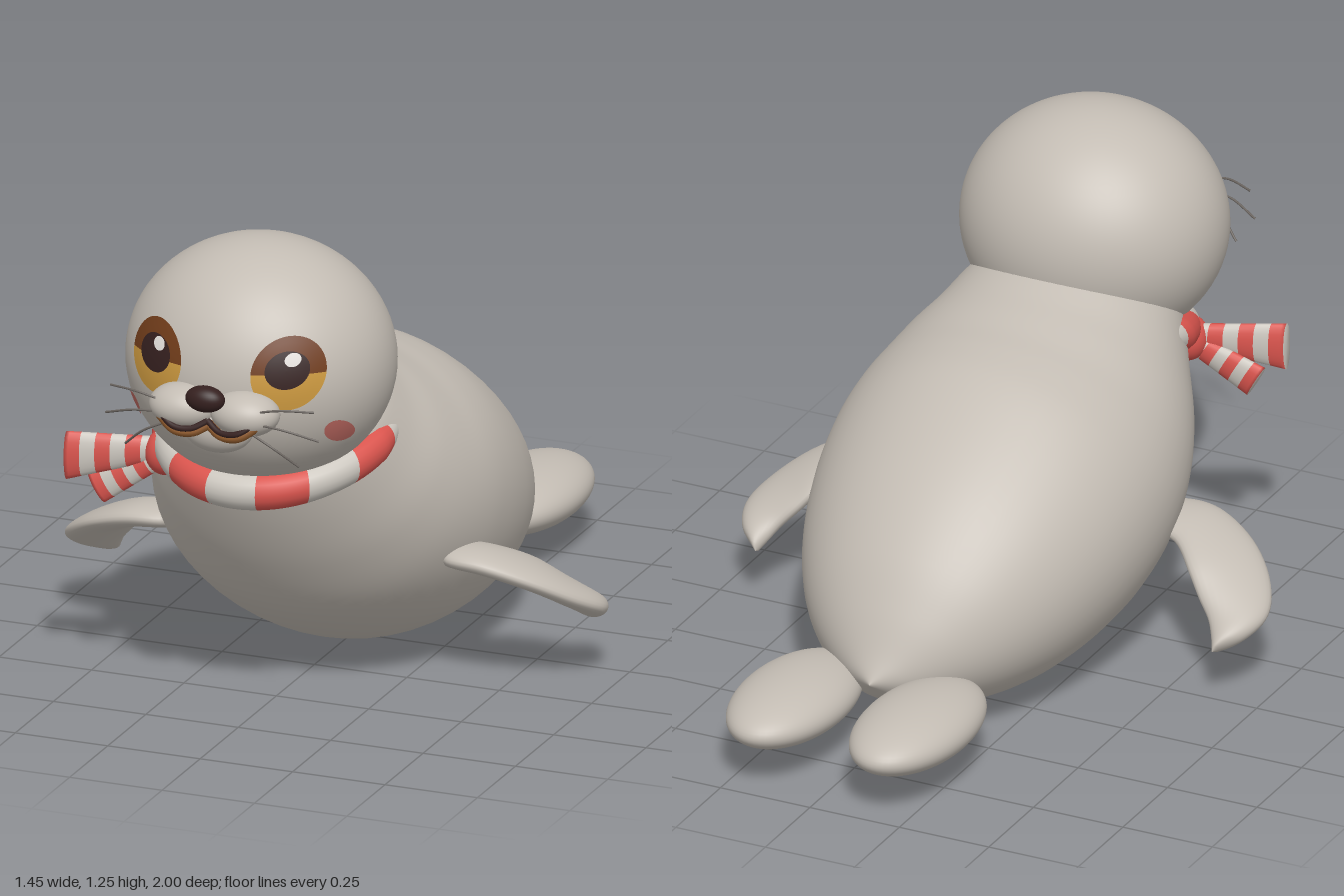
import * as THREE from 'three';

const V = (x, y, z) => new THREE.Vector3(x, y, z);
const mat = (name, color, side = THREE.FrontSide) => {
  const m = new THREE.MeshStandardMaterial({ color, side });
  m.name = name;
  return m;
};

// Head ellipsoid, shared by everything that lies on the face
const HEAD = V(0, 0.945, 0.597), HEAD_R = V(0.345, 0.314, 0.316);

// Elliptical rings joined into a skin; ring(t) gives centre c and half axes u, v,
// with u x v pointing back along the run. bandMaterial(i) picks a material index.
function loft(rings, sides, ring, bandMaterial) {
  const pos = [], index = [], g = new THREE.BufferGeometry();
  for (let i = 0; i <= rings; i++) {
    const { c, u, v } = ring(i / rings);
    for (let j = 0; j < sides; j++) {
      const a = (j / sides) * Math.PI * 2;
      const p = c.clone().addScaledVector(u, Math.cos(a)).addScaledVector(v, Math.sin(a));
      pos.push(p.x, p.y, p.z);
    }
  }
  for (let i = 0; i < rings; i++) {
    if (bandMaterial) g.addGroup(index.length, sides * 6, bandMaterial(i));
    for (let j = 0; j < sides; j++) {
      const k = (j + 1) % sides;
      const a = i * sides + j, b = i * sides + k, c = a + sides, d = b + sides;
      index.push(a, c, b, b, c, d);
    }
  }
  g.setAttribute('position', new THREE.Float32BufferAttribute(pos, 3));
  g.setIndex(index);
  g.computeVertexNormals();
  return g;
}

// Thin elliptical patch laid over the head's front surface
function headPatch(cx, cy, rx, ry, lift, start = 0, length = Math.PI * 2) {
  const g = new THREE.RingGeometry(0, 1, 40, 6, start, length), p = g.attributes.position;
  const R = HEAD_R.clone().multiplyScalar(1 + lift);
  for (let i = 0; i < p.count; i++) {
    const x = cx + p.getX(i) * rx, y = cy + p.getY(i) * ry;
    const k = 1 - (x / R.x) ** 2 - ((y - HEAD.y) / R.y) ** 2;
    p.setXYZ(i, x, y, HEAD.z + R.z * Math.sqrt(Math.max(0, k)));
  }
  g.computeVertexNormals();
  return g;
}

export function createModel() {
  const model = new THREE.Group();
  model.name = 'seal';
  const fur = mat('fur grey', 0xc3bcb3);
  const cream = mat('scarf pale', 0xcbc6be);
  const red = mat('scarf red', 0xd9544d);
  const blush = mat('cheek red', 0xbf6a62);
  const brown = mat('eye brown', 0x703c1a);
  const gold = mat('eye gold', 0xcb983f);
  const dark = mat('dark', 0x35201f);
  const shine = mat('eye shine', 0xe6e2de);
  const lip = mat('lip brown', 0x8f5a2c);
  const hair = mat('whisker grey', 0x6a645f);

  const add = (name, geometry, material) => {
    const m = new THREE.Mesh(geometry, material);
    m.name = name;
    model.add(m);
    return m;
  };
  const ball = (name, material, c, r, n = 32) => {
    const m = add(name, new THREE.SphereGeometry(1, n * 2, n), material);
    m.position.set(...c);
    m.scale.set(...r);
    return m;
  };
  const tube = (name, material, points, r) =>
    add(name, new THREE.TubeGeometry(new THREE.CatmullRomCurve3(points), 20, r, 8), material);

  // Body: back point (z, y), belly point (z, y), half width
  const sections = [
    [-0.668, 0.2, -0.665, 0.195, 0], [-0.635, 0.26, -0.58, 0.12, 0.1],
    [-0.58, 0.37, -0.48, 0.07, 0.205], [-0.5, 0.49, -0.36, 0.03, 0.295],
    [-0.37, 0.62, -0.2, 0.007, 0.375], [-0.2, 0.74, -0.02, 0.013, 0.43],
    [-0.07, 0.81, 0.15, 0.045, 0.45], [0.02, 0.835, 0.3, 0.115, 0.448],
    [0.1, 0.85, 0.44, 0.22, 0.425], [0.17, 0.87, 0.55, 0.36, 0.385],
    [0.23, 0.888, 0.63, 0.5, 0.335], [0.285, 0.91, 0.69, 0.64, 0.29],
    [0.33, 0.93, 0.72, 0.72, 0.25],
  ];
  const back = new THREE.CatmullRomCurve3(sections.map((s) => V(s[4], s[1], s[0])));
  const belly = new THREE.CatmullRomCurve3(sections.map((s) => V(0, s[3], s[2])));
  add('body', loft(72, 56, (t) => {
    const T = back.getPoint(t), B = belly.getPoint(t), w = T.x;
    T.x = B.x = 0;
    return { c: T.clone().add(B).multiplyScalar(0.5), u: T.sub(B).multiplyScalar(0.5), v: V(w, 0, 0) };
  }), fur);

  ball('head', fur, HEAD.toArray(), HEAD_R.toArray(), 40);
  ball('chin', fur, [0, 0.85, 0.885], [0.095, 0.065, 0.055]);
  ball('nose', dark, [0, 0.952, 0.967], [0.052, 0.034, 0.033], 20);

  for (const s of [1, -1]) {
    const side = s > 0 ? 'left' : 'right';

    // Face
    ball(side + 'Muzzle', fur, [s * 0.083, 0.905, 0.905], [0.09, 0.058, 0.073]);
    const ex = s * 0.177, ey = 1.005;
    add(side + 'EyeUpper', headPatch(ex, ey, 0.083, 0.092, 0.01, 0, Math.PI), brown);
    add(side + 'EyeLower', headPatch(ex, ey, 0.083, 0.092, 0.01, Math.PI, Math.PI), gold);
    add(side + 'Pupil', headPatch(s * 0.178, 1.016, 0.05, 0.047, 0.018), dark);
    add(side + 'EyeShine', headPatch(s * 0.178 + 0.012, 1.043, 0.018, 0.017, 0.025), shine);
    add(side + 'Cheek', headPatch(s * 0.275, 0.835, 0.025, 0.034, 0.01), blush);

    // Mouth line with a lip below it
    const mouth = (dy, dz) => [[0, 0.888, 0.95], [0.04, 0.868, 0.968], [0.085, 0.87, 0.972], [0.13, 0.898, 0.955]]
      .map(([x, y, z]) => V(s * x, y + dy, z + dz));
    tube(side + 'Mouth', dark, mouth(0, 0), 0.008);
    tube(side + 'Lip', lip, mouth(-0.011, -0.008), 0.013);

    // Whiskers
    for (const [y0, y1, x1] of [[0.92, 0.937, 0.275], [0.895, 0.862, 0.288], [0.87, 0.787, 0.235]]) {
      tube(side + 'Whisker', hair, [V(s * 0.11, y0, 0.945),
        V(s * (0.11 + x1) / 2, (y0 + y1) / 2 + 0.012, 0.95), V(s * x1, y1, 0.92)], 0.003);
    }

    // Front flipper swept between a leading and a trailing edge
    const edge = (pts) => new THREE.CatmullRomCurve3(pts.map(([x, y, z]) => V(s * x, y, z)));
    const lead = edge([[0.35, 0.352, 0.27], [0.385, 0.358, 0.325], [0.48, 0.353, 0.332], [0.6, 0.31, 0.285],
      [0.69, 0.25, 0.2], [0.725, 0.205, 0.11], [0.7, 0.175, 0.03], [0.64, 0.15, -0.025]]);
    const trail = edge([[0.35, 0.352, 0.26], [0.385, 0.35, 0.18], [0.45, 0.338, 0.15], [0.52, 0.295, 0.085],
      [0.56, 0.25, 0.055], [0.6, 0.205, 0.03], [0.62, 0.175, 0.005], [0.638, 0.15, -0.027]]);
    add(side + 'FrontFlipper', loft(40, 28, (t) => {
      const L = lead.getPoint(t), E = trail.getPoint(t);
      const run = lead.getTangent(t).add(trail.getTangent(t));
      const c = L.clone().add(E).multiplyScalar(0.5), u = L.sub(E).multiplyScalar(0.5);
      const thick = 0.034 * Math.sqrt(Math.max(0, 1 - (2 * t - 1) ** 4));
      return { c, u, v: u.clone().cross(run).normalize().multiplyScalar(thick) };
    }), fur);

    ball(side + 'BackFlipper', fur, [s * 0.172, 0.157, -0.74], [0.143, 0.077, 0.26]);
  }

  // Scarf: striped band around the front of the neck, sinking into the body at its ends
  const angle = (t) => -104 + 208 * t;
  add('scarf', loft(104, 20, (t) => {
    const a = THREE.MathUtils.degToRad(angle(t)), sn = Math.sin(a), cs = Math.cos(a);
    const k = Math.sqrt(Math.min(1, (1 - Math.abs(2 * t - 1)) * 4));
    return {
      c: V(0.278 * sn, 0.643 + 0.092 * (1 - cs), 0.45 + 0.317 * cs),
      u: V(0, 0.048 * k, 0), v: V(-0.046 * k * sn, 0, -0.046 * k * cs),
    };
  }, (i) => Math.floor((Math.abs(angle((i + 0.5) / 104)) + 12) / 24) % 2), [cream, red]);

  // Scarf knot and its two flared, striped ends
  ball('scarfKnot', red, [-0.252, 0.66, 0.615], [0.052, 0.06, 0.055], 20);
  const scarfEnd = (name, from, to, up, h0, h1) => add(name, loft(25, 20, (t) => {
    const s = Math.min(1, t / 0.96), k = t > 0.97 ? 0 : 1;
    return {
      c: from.clone().lerp(to, s),
      u: up.clone().multiplyScalar((h0 + (h1 - h0) * s) * k), v: V(0, 0, 0.02 * k),
    };
  }, (i) => Math.floor(i / 4) % 2), [cream, red]);
  scarfEnd('scarfEndUpper', V(-0.27, 0.667, 0.62), V(-0.485, 0.647, 0.7), V(0, 1, 0), 0.032, 0.064);
  scarfEnd('scarfEndLower', V(-0.27, 0.645, 0.62), V(-0.425, 0.558, 0.65), V(-0.49, 0.87, 0), 0.03, 0.048);

  return model;
}
